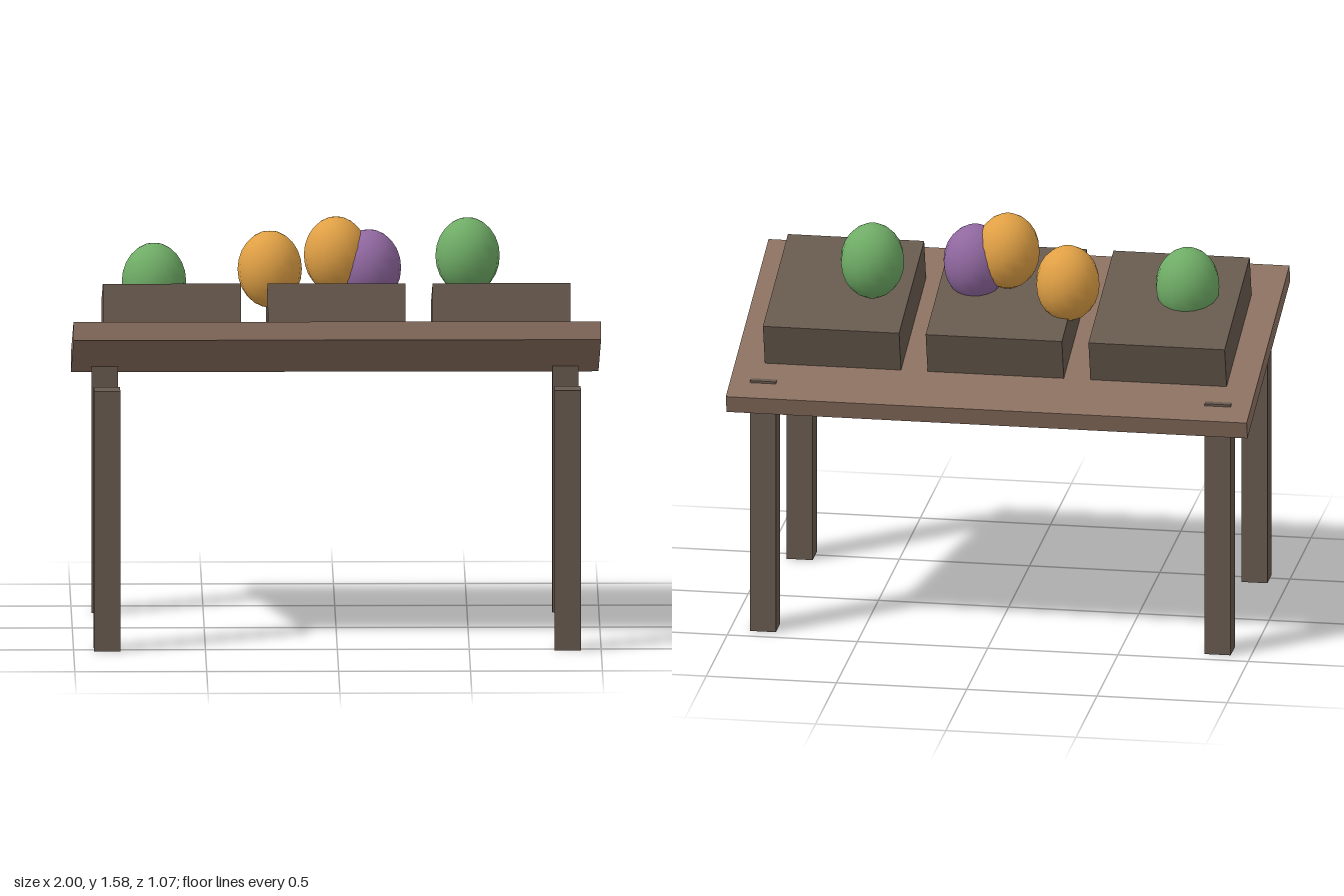
import * as THREE from 'three';

const TILT = -0.28; // the display slopes down towards the back

const material = (color) => new THREE.MeshStandardMaterial({ color });

export function createModel() {
  const model = new THREE.Group();
  model.name = 'fruitStand';

  const topWood = material(0x8a7060);
  const darkWood = material(0x67594e);
  const green = material(0x6fac66);
  const orange = material(0xe0a045);
  const purple = material(0x9068a0);

  const add = (parent, name, geometry, mat, x, y, z) => {
    const mesh = new THREE.Mesh(geometry, mat);
    mesh.name = name;
    mesh.position.set(x, y, z);
    parent.add(mesh);
    return mesh;
  };

  // Sloping table top with three crates resting on it
  const display = new THREE.Group();
  display.name = 'slopingDisplay';
  display.position.set(0, 1.077, -0.015);
  display.rotation.x = TILT;
  model.add(display);
  add(display, 'tableTop', new THREE.BoxGeometry(2, 0.07, 1.062), topWood, 0, 0, 0);
  const crate = new THREE.BoxGeometry(0.523, 0.172, 0.622);
  for (const [i, name] of ['rightCrate', 'middleCrate', 'leftCrate'].entries()) {
    add(display, name, crate, darkWood, (i - 1) * 0.625, 0.118, 0.016);
  }

  // Four upright legs; the back pair just pierces the top
  const leg = new THREE.BoxGeometry(0.1, 1, 0.1);
  for (const side of [-1, 1]) {
    const label = side > 0 ? 'Left' : 'Right';
    add(model, 'front' + label + 'Leg', leg, darkWood, side * 0.873, 0.5, 0.487);
    add(model, 'back' + label + 'Leg', leg, darkWood, side * 0.873, 0.5, -0.388);
  }

  // Upright egg-shaped fruit: material, x, y, z
  const fruit = new THREE.SphereGeometry(0.122, 16, 12);
  fruit.scale(1, 1.2, 1);
  const fruits = [
    [green, -0.69, 1.33, -0.018],
    [orange, -0.25, 1.355, -0.142],
    [orange, 0, 1.43, -0.018],
    [purple, 0.125, 1.38, -0.018],
    [green, 0.5, 1.405, -0.142],
  ];
  fruits.forEach(([mat, x, y, z], i) => add(model, 'fruit' + (i + 1), fruit, mat, x, y, z));

  return model;
}
